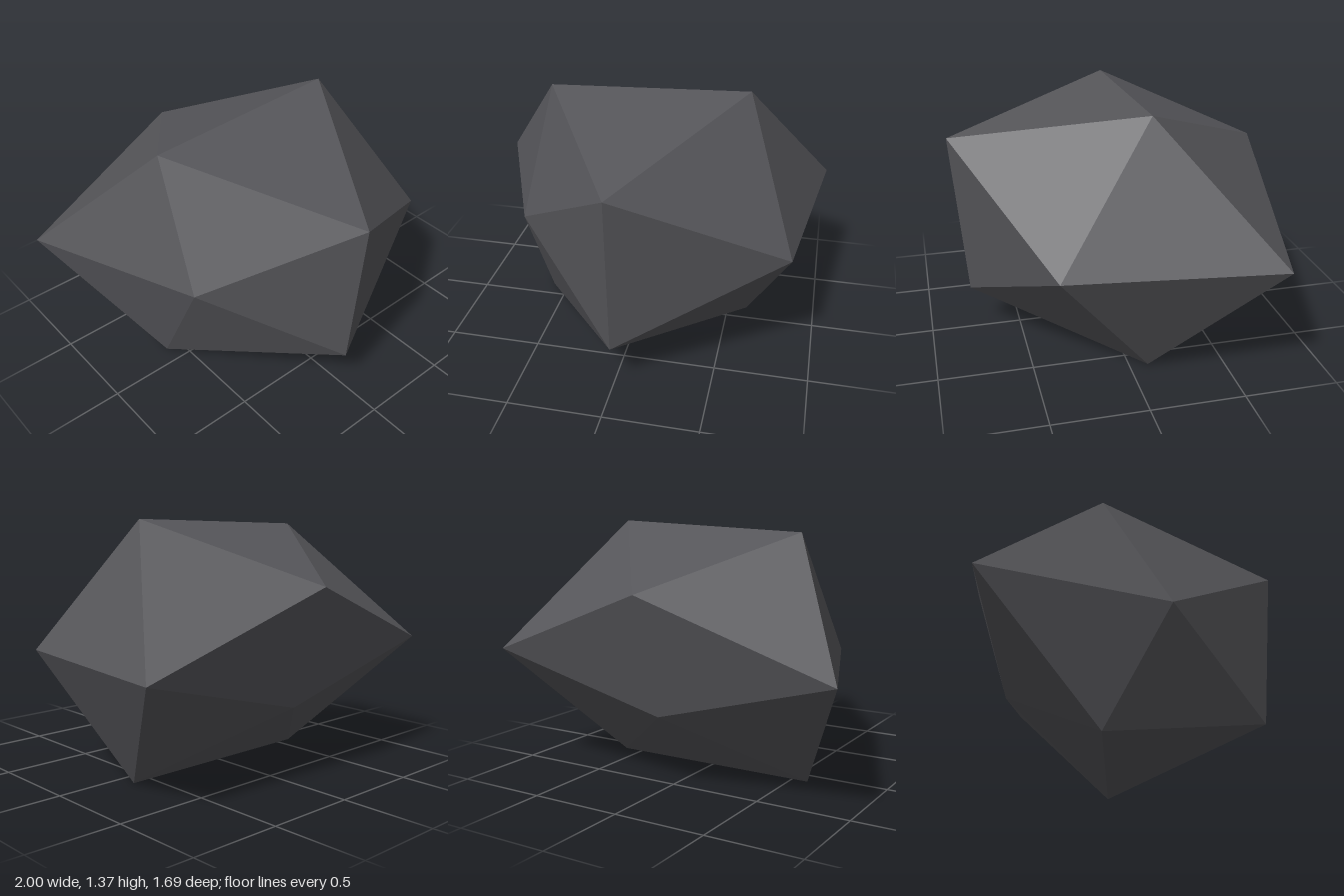
import * as THREE from 'three';

// A rough lump of rock: a twenty-sided solid with its twelve corners pushed about.
export function createModel() {
  const darkStone = new THREE.MeshStandardMaterial({ color: 0x56565a, flatShading: true });
  darkStone.name = 'darkStone';

  const corners = [
    [-0.54, 1.32, -0.11], [0.56, 1.365, -0.11],  // top ridge
    [-0.59, 0, -0.1], [0.61, 0, -0.1],           // bottom ridge
    [-0.01, 0.245, 0.77], [-0.01, 1.14, 0.845],  // front edge, low and high
    [-0.01, 0.4, -0.65], [-0.01, 1.04, -0.845],  // back edge, low and high
    [1, 0.67, -0.7], [0.86, 0.67, 0.41],         // left side, back and front
    [-1, 0.67, -0.69], [-0.62, 0.67, 0.25],      // right side, back and front
  ];
  const faces = [
    // around the top right corner
    0, 11, 5, 0, 5, 1, 0, 1, 7, 0, 7, 10, 0, 10, 11,
    // neighbours of that fan
    1, 5, 9, 5, 11, 4, 11, 10, 2, 10, 7, 6, 7, 1, 8,
    // around the bottom left corner
    3, 9, 4, 3, 4, 2, 3, 2, 6, 3, 6, 8, 3, 8, 9,
    // neighbours of that fan
    4, 9, 5, 2, 4, 11, 6, 2, 10, 8, 6, 7, 9, 8, 1,
  ];

  const indexed = new THREE.BufferGeometry();
  indexed.setAttribute('position', new THREE.Float32BufferAttribute(corners.flat(), 3));
  indexed.setIndex(faces);
  const geometry = indexed.toNonIndexed();
  geometry.computeVertexNormals();

  const rock = new THREE.Mesh(geometry, darkStone);
  rock.name = 'rock';
  const group = new THREE.Group();
  group.name = 'rockModel';
  group.add(rock);
  return group;
}
